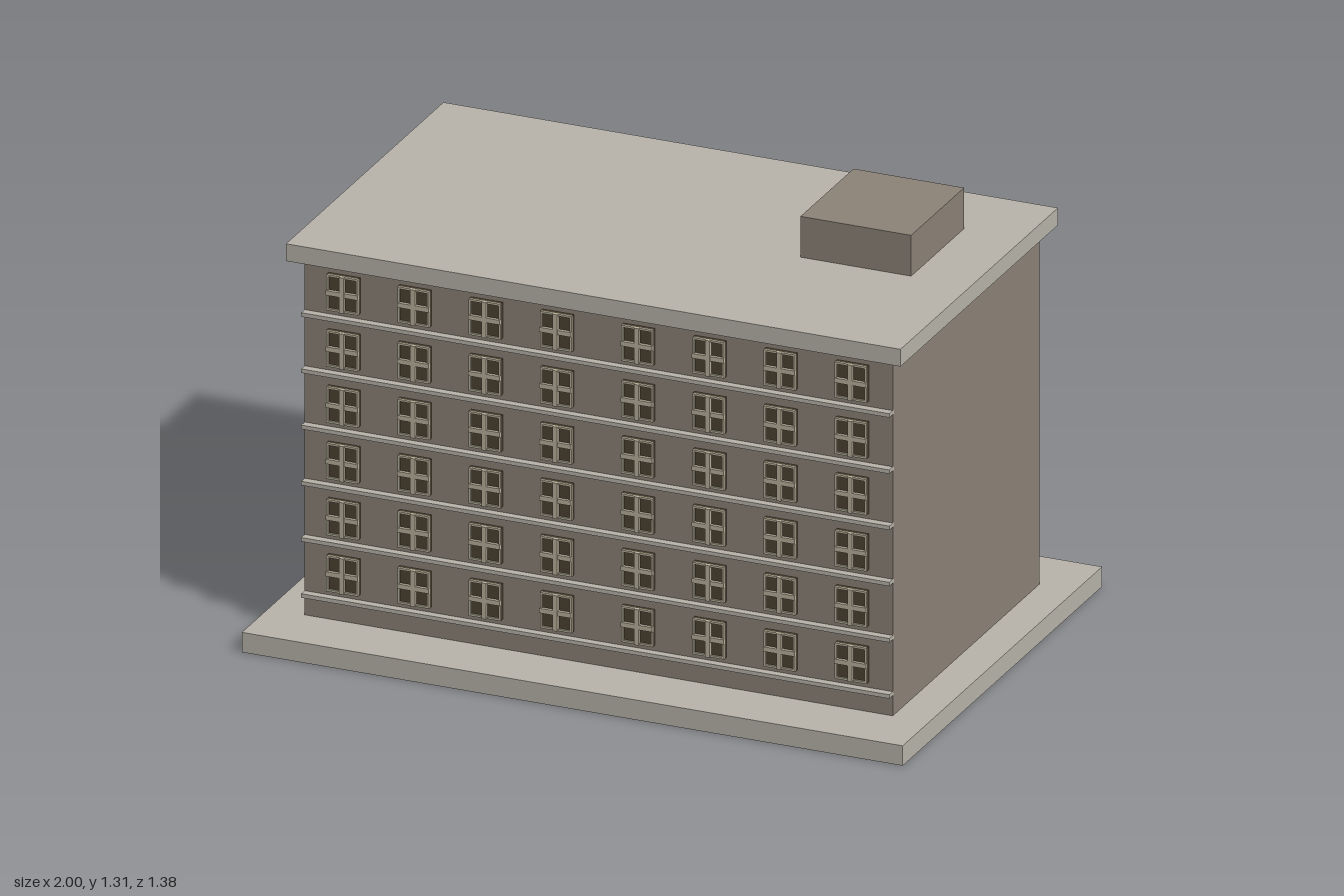
import * as THREE from 'three';

const material = (name, color) => {
  const m = new THREE.MeshStandardMaterial({ color });
  m.name = name;
  return m;
};

export function createModel() {
  const wall = material('taupe wall', 0x8c8278);
  const concrete = material('pale concrete', 0xb8b4aa);
  const frame = material('window frame', 0xb8b19c);
  const glass = material('dark glass', 0x4a4232);

  const model = new THREE.Group();
  model.name = 'apartmentBlock';

  // Box given by its minimum and maximum corners
  function box(parent, name, mat, [x0, y0, z0], [x1, y1, z1]) {
    const mesh = new THREE.Mesh(new THREE.BoxGeometry(x1 - x0, y1 - y0, z1 - z0), mat);
    mesh.position.set((x0 + x1) / 2, (y0 + y1) / 2, (z0 + z1) / 2);
    mesh.name = name;
    parent.add(mesh);
  }

  // Main masses
  box(model, 'basePlinth', concrete, [-1, 0, -0.69], [1, 0.06, 0.69]);
  box(model, 'buildingBody', wall, [-0.89, 0.06, -0.507], [0.89, 1.135, 0.507]);
  box(model, 'roofSlab', concrete, [-0.93, 1.135, -0.545], [0.93, 1.187, 0.545]);
  box(model, 'roofHouse', wall, [0.415, 1.187, -0.307], [0.75, 1.31, 0.06]);

  // One window: projecting glass with a border and a cross in front
  const W = 0.048, H = 0.054, edge = 0.006, bar = 0.007;
  function addWindow(x, y) {
    const win = new THREE.Group();
    win.name = 'window';
    win.position.set(x, y, 0);
    box(win, 'windowGlass', glass, [-W, -H, 0.5], [W, H, 0.518]);
    for (const s of [-1, 1]) {
      const xs = s * (W - edge / 2), ys = s * (H - edge / 2);
      box(win, 'frameSide', frame, [xs - edge / 2, -H, 0.518], [xs + edge / 2, H, 0.524]);
      box(win, 'frameRail', frame, [-W + edge, ys - edge / 2, 0.518], [W - edge, ys + edge / 2, 0.524]);
    }
    box(win, 'mullion', frame, [-bar, -H, 0.518], [bar, H, 0.529]);
    box(win, 'transom', frame, [-W, -bar, 0.518], [W, bar, 0.528]);
    model.add(win);
  }

  // Six storeys, each with a ledge and eight windows mirrored about the centre
  for (let floor = 0; floor < 6; floor++) {
    const y = 0.127 + floor * 0.1695;
    box(model, 'floorLedge', concrete, [-0.89, y - 0.006, 0.5], [0.89, y + 0.006, 0.531]);
    for (let i = 0; i < 4; i++) {
      for (const side of [-1, 1]) addWindow(side * (0.123 + i * 0.2155), y + 0.077);
    }
  }
  return model;
}
